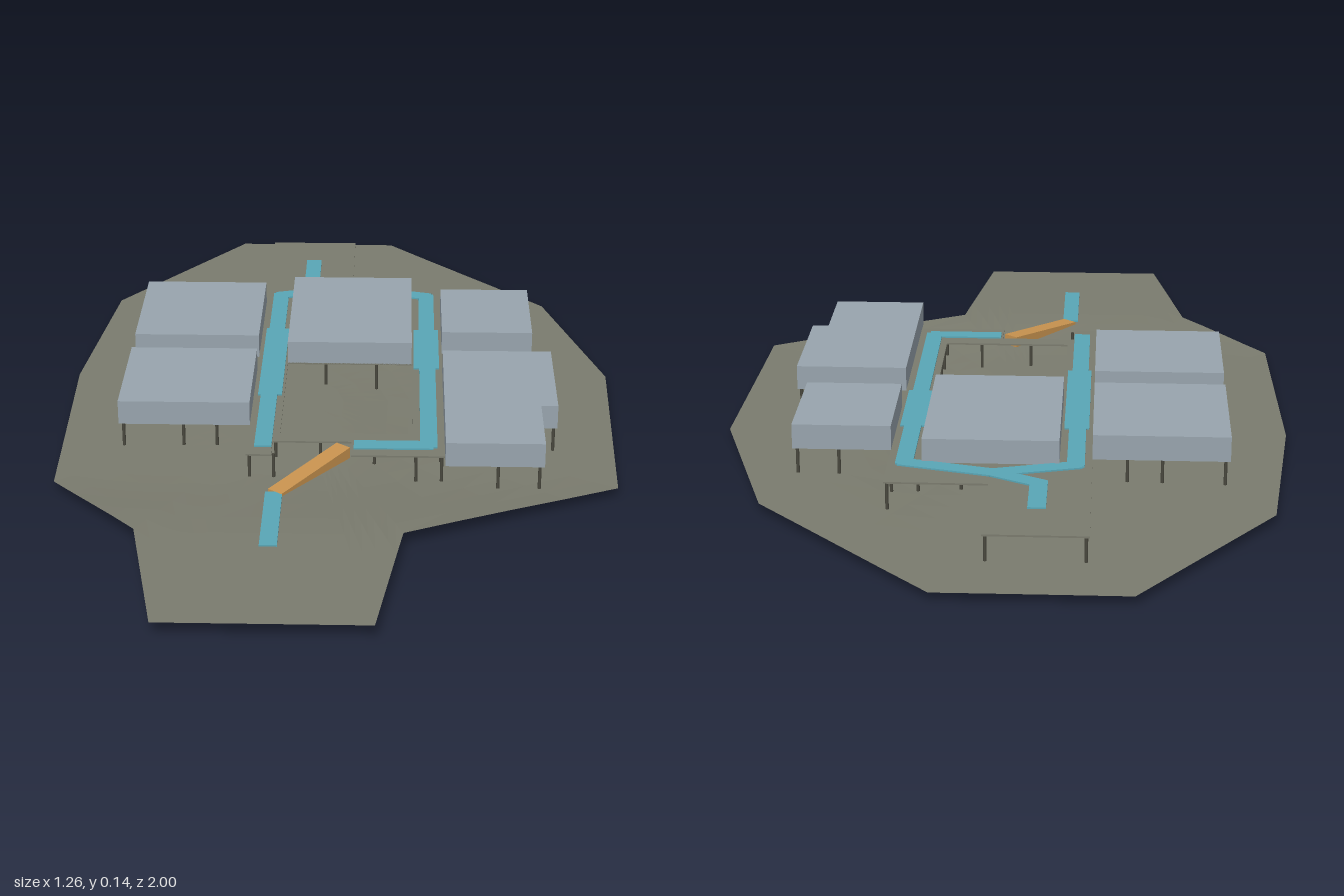
import * as THREE from 'three';

const mat = (name, color) => {
  const m = new THREE.MeshStandardMaterial({ color });
  m.name = name;
  return m;
};

export function createModel() {
  const model = new THREE.Group();
  const earth = mat('earth', 0x7a7b6e);
  earth.side = THREE.DoubleSide;
  earth.flatShading = true;
  const pale = mat('pale blue grey', 0x98a4ad);
  const teal = mat('teal path', 0x59a6b6);
  const timber = mat('timber ramp', 0xc8934f);
  const dark = mat('dark post', 0x4a493f);

  const add = (name, geo, material, parent = model) => {
    const mesh = new THREE.Mesh(geo, material);
    mesh.name = name;
    parent.add(mesh);
    return mesh;
  };
  const group = (name) => {
    const g = new THREE.Group();
    g.name = name;
    model.add(g);
    return g;
  };

  // Gently rolling ground: raised at the front tongue, hollow right of centre
  const bell = (x, z, cx, cz, rx, rz) => Math.exp(-(((x - cx) / rx) ** 2) - ((z - cz) / rz) ** 2);
  const groundY = (x, z) => 0.022 + 0.014 * THREE.MathUtils.smoothstep(z, 0.35, 0.65)
    + 0.008 * bell(x, z, -0.25, -0.1, 0.2, 0.45) - 0.014 * bell(x, z, 0.15, -0.1, 0.13, 0.5);
  const outline = [[-0.29, -1], [0.11, -1], [0.5, -0.59], [0.63, -0.17], [0.612, 0.4], [0.145, 0.63],
    [0.09, 1], [-0.35, 1], [-0.42, 0.63], [-0.62, 0.4], [-0.635, -0.15], [-0.585, -0.6]];
  const rim = [];
  const split = 4, rings = 14, cx = -0.1;
  outline.forEach((p, i) => {
    const q = outline[(i + 1) % outline.length];
    for (let k = 0; k < split; k++) {
      rim.push([p[0] + (q[0] - p[0]) * k / split, p[1] + (q[1] - p[1]) * k / split]);
    }
  });
  const n = rim.length, pos = [], idx = [];
  for (let r = 0; r <= rings; r++) {
    rim.forEach(([px, pz], i) => {
      const x = cx + (px - cx) * r / rings, z = pz * r / rings;
      pos.push(x, groundY(x, z), z);
      if (r === rings) return;
      const a = r * n + i, b = r * n + (i + 1) % n;
      if (r > 0) idx.push(a, b + n, b);
      if (r >= 0) idx.push(a, a + n, b + n);
    });
  }
  // reverse the winding so that the upper side faces up
  for (let i = 0; i < idx.length; i += 3) [idx[i + 1], idx[i + 2]] = [idx[i + 2], idx[i + 1]];
  const ground = new THREE.BufferGeometry();
  ground.setAttribute('position', new THREE.Float32BufferAttribute(pos, 3));
  ground.setIndex(idx);
  ground.computeVertexNormals();
  add('ground', ground, earth);

  // Raised deck around a courtyard
  const toPoints = (list) => list.map(([x, z]) => new THREE.Vector2(x, -z));
  const deckShape = new THREE.Shape(toPoints([[-0.2, -0.86], [0.015, -0.86], [0.015, -0.605], [0.235, -0.605],
    [0.235, 0.375], [0.03, 0.375], [0.03, 0.31], [-0.145, 0.31], [-0.145, 0.375], [-0.2, 0.375]]));
  deckShape.holes.push(new THREE.Path(toPoints([[-0.13, -0.1], [0.165, -0.1], [0.165, 0.27], [-0.13, 0.27]])));
  const deck = new THREE.ExtrudeGeometry(deckShape, { depth: 0.004, bevelEnabled: false });
  deck.rotateX(-Math.PI / 2).translate(0, 0.079, 0);
  add('deck', deck, earth);

  // Flat-roofed pavilions: x0, x1, z0, z1
  const block = (name, x0, x1, z0, z1) => {
    const g = new THREE.BoxGeometry(x1 - x0, 0.056, z1 - z0);
    add(name, g.translate((x0 + x1) / 2, 0.109, (z0 + z1) / 2), pale);
  };
  block('backRightPavilion', -0.495, -0.2, -0.457, -0.135);
  block('frontRightPavilion', -0.495, -0.2, -0.06, 0.23);
  block('centralPavilion', -0.13, 0.163, -0.495, -0.1);
  block('backLeftPavilion', 0.235, 0.45, -0.425, -0.165);
  block('frontLeftPavilion', 0.235, 0.488, -0.06, 0.23);
  block('frontLeftPavilionWing', 0.235, 0.45, 0.23, 0.417);

  // Walkway strips laid between two plan points
  const paths = group('paths');
  const strip = (a, b, y = 0.0845, w = 0.038, extra = 0.01) => {
    const dx = b[0] - a[0], dz = b[1] - a[1];
    const m = add('pathSection', new THREE.BoxGeometry(w, 0.004, Math.hypot(dx, dz) + 2 * extra), teal, paths);
    m.position.set((a[0] + b[0]) / 2, y, (a[1] + b[1]) / 2);
    m.rotation.y = Math.atan2(dx, dz);
  };
  const route = (pts) => pts.slice(1).forEach((p, i) => strip(pts[i], p));
  route([[-0.09, -0.72], [-0.09, -0.6], [0.01, -0.548], [0.2, -0.5], [0.2, 0.327], [0.045, 0.327]]);
  route([[0.01, -0.548], [-0.165, -0.5], [-0.165, 0.33]]);
  strip([-0.163, -0.29], [-0.163, 0.08], 0.0845, 0.055, 0);
  strip([0.198, -0.29], [0.198, -0.07], 0.0845, 0.06, 0);
  strip([-0.132, 0.51], [-0.132, 0.74], 0.062, 0.037, 0);

  // Wedge ramp climbing to the deck
  const from = [-0.13, 0.51], to = [0.012, 0.328];
  const length = Math.hypot(to[0] - from[0], to[1] - from[1]);
  const rampGeo = new THREE.BoxGeometry(0.038, 0.025, length);
  const rp = rampGeo.attributes.position;
  for (let i = 0; i < rp.count; i++) {
    rp.setY(i, rp.getY(i) < 0 ? 0.058 : rp.getZ(i) > 0 ? 0.084 : 0.064);
  }
  rampGeo.computeVertexNormals();
  const ramp = add('ramp', rampGeo, timber);
  ramp.position.set((from[0] + to[0]) / 2, 0, (from[1] + to[1]) / 2);
  ramp.rotation.y = Math.atan2(to[0] - from[0], to[1] - from[1]);

  // Slender posts standing in the ground
  const posts = group('posts');
  const post = (x, z) => {
    const y0 = groundY(x, z) - 0.008, h = 0.081 - y0;
    add('post', new THREE.CylinderGeometry(0.004, 0.004, h, 6), dark, posts).position.set(x, y0 + h / 2, z);
  };
  const row = (x, z0, z1, count) => {
    for (let i = 0; i < count; i++) post(x, z0 + (z1 - z0) * i / (count - 1));
  };
  row(-0.193, -0.85, 0.367, 13);
  row(-0.14, -0.49, 0.367, 10);
  row(0.172, -0.49, 0.367, 10);
  row(0.228, -0.597, 0.367, 11);
  row(0.008, -0.85, -0.6, 3);
  [-0.04, 0.08].forEach((x) => [-0.48, -0.11, 0.285].forEach((z) => post(x, z)));
  [-0.485, -0.35, -0.275].forEach((x) => [-0.445, -0.145, -0.05, 0.22].forEach((z) => post(x, z)));
  [0.35, 0.44].forEach((x) => [-0.415, -0.175, -0.05, 0.22, 0.405].forEach((z) => post(x, z)));
  [-0.05, 0.22].forEach((z) => post(0.48, z));

  return model;
}
